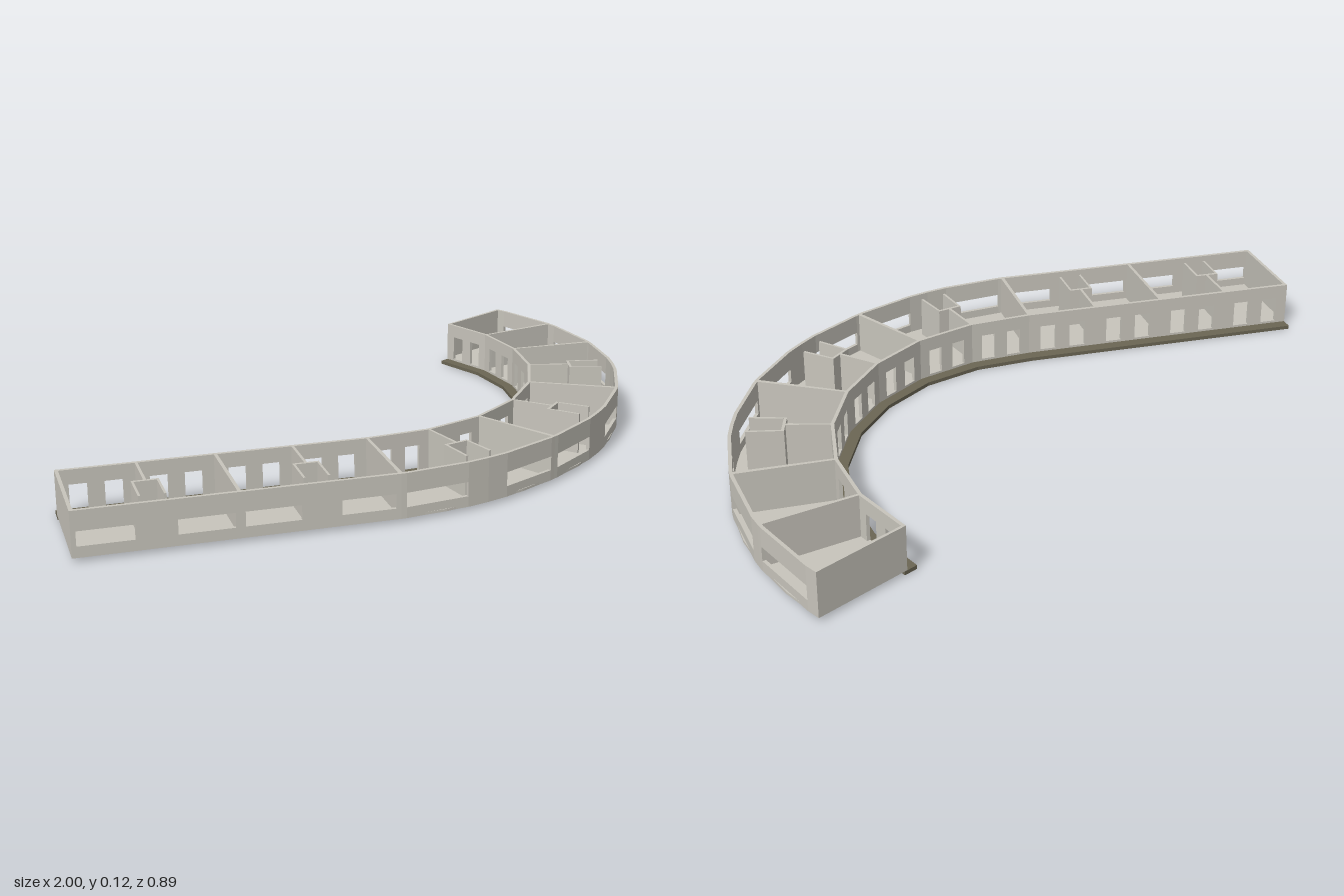
import * as THREE from 'three';
import { mergeGeometries } from 'three/addons/utils/BufferGeometryUtils.js';

const BASE = 0.01, FLOOR = 0.016, TOP = 0.122;
const ROOMS = 12, STRAIGHT = 4, SKIN = 0.035;

// Plan coordinates: u counts rooms along the building, t runs from outer wall (0) to inner wall (1)
function exactPlan(u, t) {
  const a = THREE.MathUtils.degToRad(-30 + 15 * Math.max(0, u - STRAIGHT));
  const bend = THREE.MathUtils.clamp((u - STRAIGHT) / 2, 0, 1);
  const outer = THREE.MathUtils.lerp(0.905, 0.888, bend);
  const inner = THREE.MathUtils.lerp(0.632, 0.642, bend);
  const r = outer + (inner - outer) * t;
  const back = 0.19 * Math.max(0, STRAIGHT - u);
  return new THREE.Vector2(
    0.11 + r * Math.sin(a) - back * Math.cos(a),
    -0.443 + r * Math.cos(a) + back * Math.sin(a)
  );
}

// The inner side is faceted, one straight run per room
function plan(u, t) {
  if (t < 0.9) return exactPlan(u, t);
  const k = Math.min(Math.floor(u), ROOMS - 1);
  return exactPlan(k, t).lerp(exactPlan(k + 1, t), u - k);
}

// A box bent into plan coordinates
function block(u0, u1, t0, t1, y0, y1) {
  const geo = new THREE.BoxGeometry(1, 1, 1).toNonIndexed();
  const p = geo.attributes.position;
  for (let i = 0; i < p.count; i++) {
    const q = plan(p.getX(i) < 0 ? u0 : u1, p.getZ(i) > 0 ? t0 : t1);
    p.setXYZ(i, q.x, p.getY(i) < 0 ? y0 : y1, q.y);
  }
  geo.computeVertexNormals();
  return geo;
}

// Wall run with one opening between ua and ub
function openRun(u0, ua, ub, u1, t0, t1, ya, yb) {
  return [
    block(u0, ua, t0, t1, BASE, TOP),
    block(ub, u1, t0, t1, BASE, TOP),
    block(ua, ub, t0, t1, BASE, ya),
    block(ua, ub, t0, t1, yb, TOP),
  ];
}

export function createModel() {
  const group = new THREE.Group();
  const plaster = new THREE.MeshStandardMaterial({ color: 0xc8c5bc });
  plaster.name = 'pale plaster';
  const deck = new THREE.MeshStandardMaterial({ color: 0x6b6654 });
  deck.name = 'dark deck';
  const add = (name, parts, material) => {
    const mesh = new THREE.Mesh(mergeGeometries(parts), material);
    mesh.name = name;
    group.add(mesh);
  };

  const closets = [1, 3, 5, 7, 9];
  const outer = [], inner = [], floor = [], walkway = [];
  for (let k = 0; k < ROOMS; k++) {
    // Wide window, set away from the closet side
    const a = closets.includes(k) ? 0.25 : 0.06;
    const b = closets.includes(k + 1) ? 0.75 : k >= 10 ? 0.85 : 0.94;
    outer.push(...openRun(k, k + a, k + b, k + 1, 0, SKIN, 0.037, 0.073));
    // Two tall openings per room towards the walkway
    for (const [u0, ua, ub, u1] of [[0, 0.16, 0.39, 0.5], [0.5, 0.6, 0.83, 1]]) {
      inner.push(...openRun(k + u0, k + ua, k + ub, k + u1, 1 - SKIN, 1, FLOOR, 0.085));
    }
    for (const h of [0, 0.5]) {
      floor.push(block(k + h, k + h + 0.5, 0.004, 0.996, BASE, FLOOR));
    }
    walkway.push(block(k, k + 1, 0.97, 1.115, 0, BASE - 0.0005));
  }
  add('outerWall', outer, plaster);
  add('innerWall', inner, plaster);
  add('floor', floor, plaster);
  add('walkway', walkway, deck);

  // Solid end walls
  add('endWalls', [
    block(0, 0.045, SKIN, 1 - SKIN, FLOOR, TOP),
    block(ROOMS - 0.04, ROOMS, SKIN, 1 - SKIN, FLOOR, TOP),
  ], plaster);

  // Full partitions
  add('partitions', [2, 4, 6, 8, 10, 11].map((u) =>
    block(u - 0.022, u + 0.022, SKIN, 1 - SKIN, FLOOR, TOP)), plaster);

  // Half partitions that open into a small closet near the outer wall
  const closetWalls = [];
  for (const u of closets) {
    closetWalls.push(block(u - 0.018, u + 0.018, 0.53, 1 - SKIN, FLOOR, TOP));
    closetWalls.push(block(u - 0.17, u + 0.17, 0.5, 0.53, FLOOR, TOP));
    for (const s of [-1, 1]) {
      const c = u + s * 0.155;
      closetWalls.push(block(c - 0.015, c + 0.015, 0.16, 0.5, FLOOR, TOP));
    }
  }
  add('closets', closetWalls, plaster);
  return group;
}
